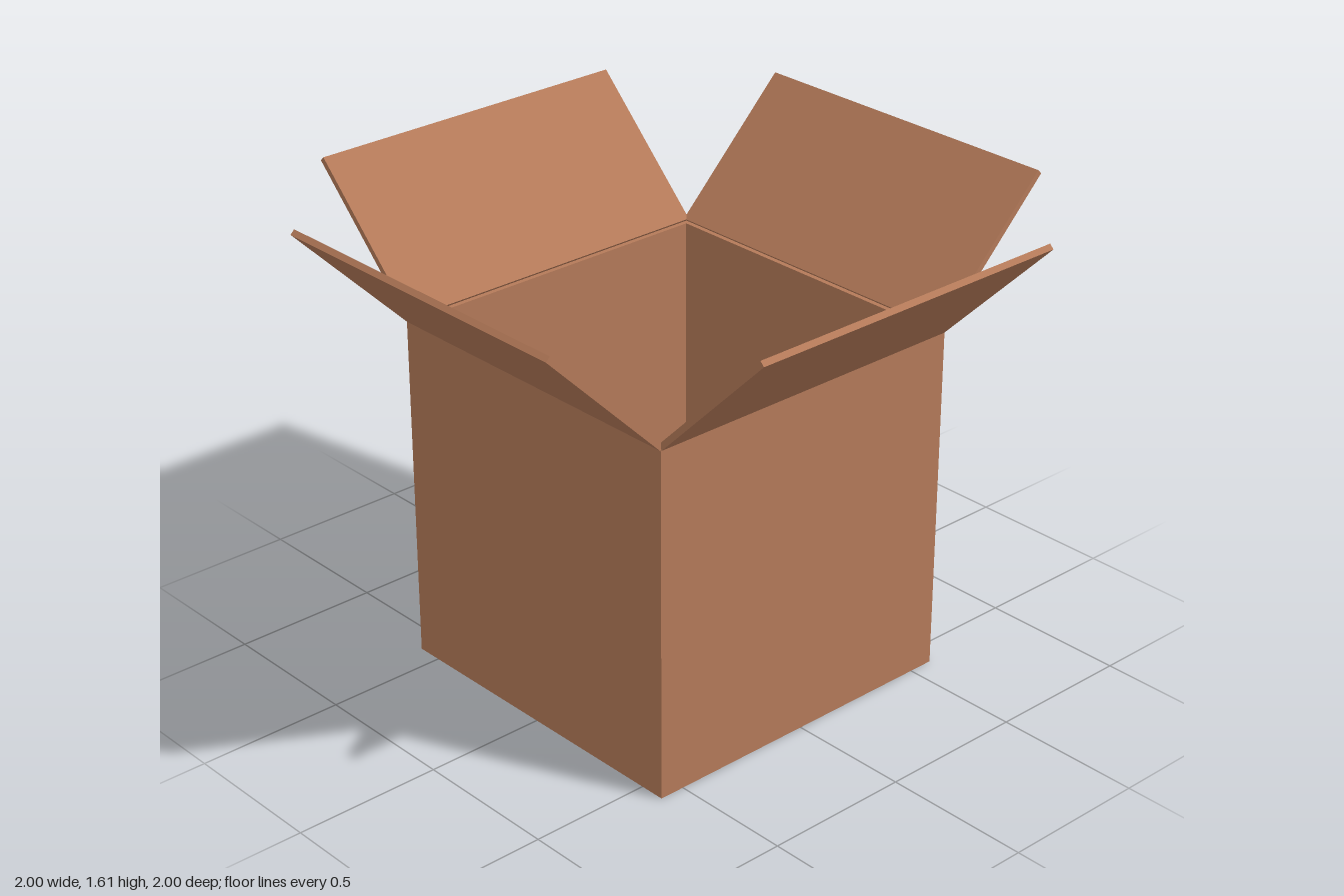
import * as THREE from 'three';

export function createModel() {
  const cardboard = new THREE.MeshStandardMaterial({ color: 0xb47a59 });
  cardboard.name = 'cardboard brown';

  const half = 0.587;      // half width of the carton
  const height = 1.187;    // height of the walls
  const thick = 0.02;      // board thickness
  const flapLength = 0.583;

  const model = new THREE.Group();
  model.name = 'openCarton';

  const board = (name, w, h, d, parent) => {
    const mesh = new THREE.Mesh(new THREE.BoxGeometry(w, h, d), cardboard);
    mesh.name = name;
    parent.add(mesh);
    return mesh;
  };

  // Floor
  board('floor', 2 * (half - thick), thick, 2 * (half - thick), model).position.y = thick / 2;

  // Each side has a wall and a flap folded outwards at 45 degrees
  ['front', 'left', 'back', 'right'].forEach((name, i) => {
    const side = new THREE.Group();
    side.name = name + 'Side';
    side.rotation.y = i * Math.PI / 2;
    model.add(side);

    // Front and back walls fit between the left and right walls
    const wallWidth = i % 2 ? 2 * half : 2 * (half - thick);
    board(name + 'Wall', wallWidth, height, thick, side)
      .position.set(0, height / 2, half - thick / 2);

    const flap = board(name + 'Flap', 2 * half - 0.004, thick, flapLength, side);
    flap.position.set(0, 1.396, 0.787);
    flap.rotation.x = -Math.PI / 4;
  });

  return model;
}
